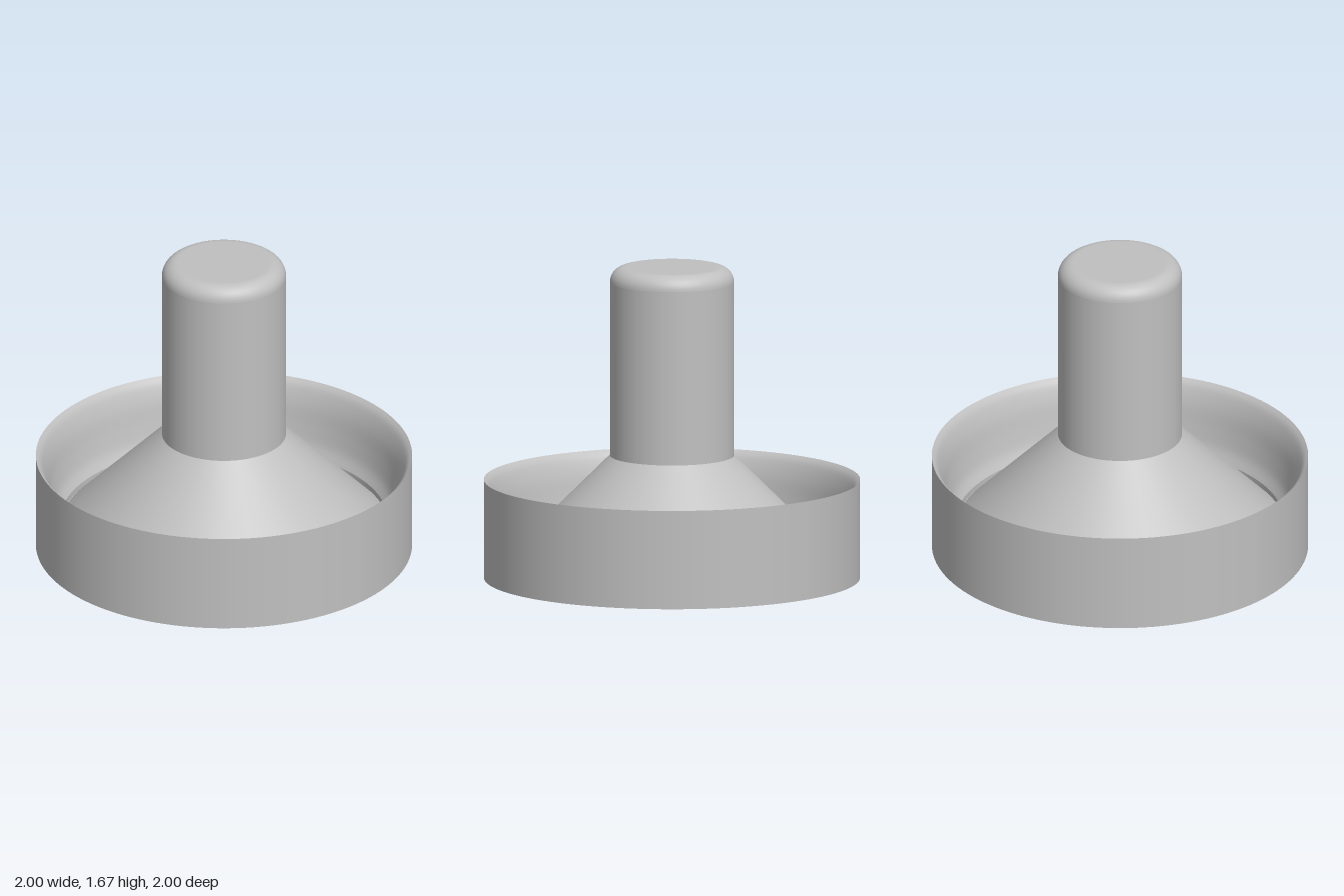
import * as THREE from 'three';

export function createModel() {
  const group = new THREE.Group();
  group.name = 'flangedPlunger';
  const grey = new THREE.MeshStandardMaterial({ color: 0xc0c0c0 });
  grey.name = 'plain grey';

  // Each surface is its own lathe, so edges between surfaces stay sharp.
  // Profiles run from the bottom centre outward, up, and back to the axis.
  const turn = (name, points) => {
    const profile = points.map(([r, y]) => new THREE.Vector2(r, y));
    const mesh = new THREE.Mesh(new THREE.LatheGeometry(profile, 128), grey);
    mesh.name = name;
    group.add(mesh);
  };

  // Dish: flat underside, straight outer wall
  turn('underside', [[0, 0], [1, 0]]);
  turn('outerWall', [[1, 0], [1, 0.53]]);

  // Inner wall: a soft S-curve from the sharp rim down to the groove
  const wall = new THREE.SplineCurve([
    [1, 0.53], [0.97, 0.495], [0.94, 0.41], [0.92, 0.3], [0.9, 0.21], [0.87, 0.15],
  ].map(([r, y]) => new THREE.Vector2(r, y)));
  turn('innerWall', wall.getPoints(24).map((p) => [p.x, p.y]));

  // Narrow groove between the wall and the cone
  turn('grooveSide', [[0.87, 0.15], [0.87, 0.12]]);
  turn('grooveFloor', [[0.87, 0.12], [0.86, 0.12]]);
  turn('coneFoot', [[0.86, 0.12], [0.86, 0.13]]);

  // Cone rising to the shaft
  turn('cone', [[0.86, 0.13], [0.33, 0.66]]);

  // Shaft with rounded top edge
  turn('shaft', [[0.33, 0.66], [0.33, 1.595]]);
  const round = [];
  for (let i = 0; i <= 10; i++) {
    const a = (i / 10) * Math.PI / 2;
    round.push([0.25 + 0.08 * Math.cos(a), 1.595 + 0.08 * Math.sin(a)]);
  }
  turn('roundedEdge', round);
  turn('shaftTop', [[0.25, 1.675], [0, 1.675]]);

  return group;
}
